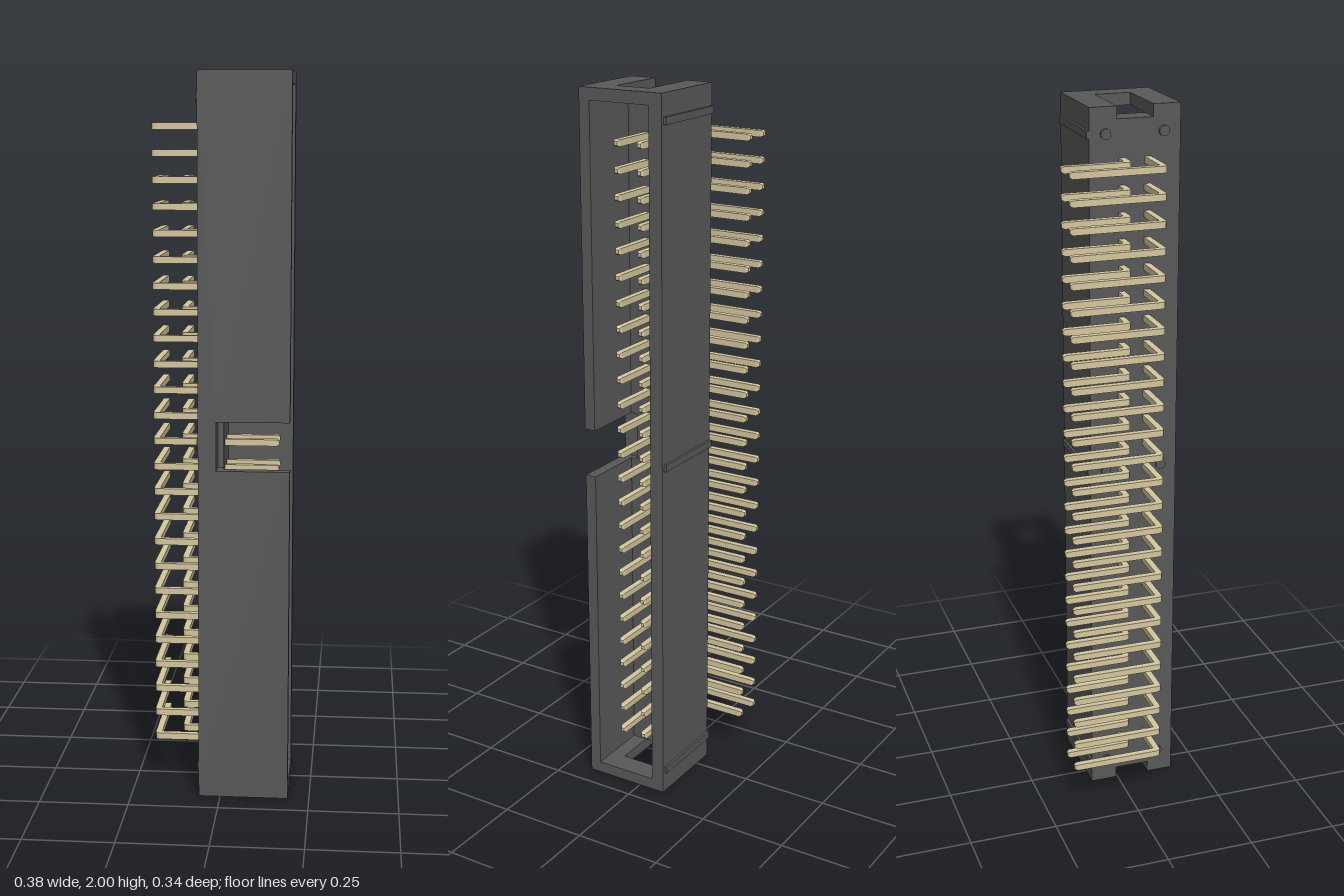
import * as THREE from 'three';
import { mergeGeometries } from 'three/addons/utils/BufferGeometryUtils.js';

const ROWS = 25, PITCH = 1 / 14;
const X0 = -0.06, X1 = 0.19, Z0 = -0.08, Z1 = 0.17; // housing outline
const WALL = 0.033, FLOOR = 0.007, PIN = 0.018;

const polygon = pts => new THREE.Shape(pts.map(([x, y]) => new THREE.Vector2(x, y)));

// Extrude a plan given as (x, -z) upwards from y
function extrudeUp(shape, y, height) {
  const g = new THREE.ExtrudeGeometry(shape, { depth: height, bevelEnabled: false, curveSegments: 4 });
  return g.rotateX(-Math.PI / 2).translate(0, y, 0);
}

// Pin end: a short square frustum pointing along +y before it is turned
function pinTip(length) {
  const r = PIN / Math.SQRT2;
  const g = new THREE.CylinderGeometry(r * 0.55, r, length, 4).toNonIndexed();
  g.rotateY(Math.PI / 4).translate(0, length / 2, 0);
  g.computeVertexNormals();
  return g;
}

// Right-angle pin: contact along +x at depth z, solder leg along -z at legX
function pinGeometry(z, legX) {
  const h = PIN / 2, tip = 0.007, end = 0.15, tail = -0.165, R = 0.016;
  const s = new THREE.Shape();
  s.moveTo(end, -(z + h));
  s.lineTo(end, -(z - h));
  s.lineTo(legX + h, -(z - h));
  s.lineTo(legX + h, -tail);
  s.lineTo(legX - h, -tail);
  s.lineTo(legX - h, -(z + h) + R);
  s.quadraticCurveTo(legX - h, -(z + h), legX - h + R, -(z + h));
  s.closePath();
  return mergeGeometries([
    extrudeUp(s, -h, PIN),
    pinTip(tip).rotateZ(-Math.PI / 2).translate(end, 0, z),
    pinTip(tip).rotateX(-Math.PI / 2).translate(legX, 0, tail),
  ]);
}

export function createModel() {
  const model = new THREE.Group();
  const plastic = new THREE.MeshStandardMaterial({ color: 0x595959 });
  const metal = new THREE.MeshStandardMaterial({ color: 0xd6c7a0 });

  const housing = new THREE.Group();
  housing.name = 'housing';
  model.add(housing);
  const add = (name, geometry) => {
    const m = new THREE.Mesh(geometry, plastic);
    m.name = name;
    housing.add(m);
    return m;
  };
  const block = (name, xa, xb, ya, yb, za, zb) => add(name,
    new THREE.BoxGeometry(xb - xa, yb - ya, zb - za)
      .translate((xa + xb) / 2, (ya + yb) / 2, (za + zb) / 2));

  // End walls, each with a slot open towards the pin side
  const endPlan = polygon([
    [X0, -Z1], [X1, -Z1], [X1, -Z0], [X0, -Z0],
    [X0, 0.005], [0.125, 0.005], [0.125, -0.095], [X0, -0.095],
  ]);
  add('bottomEndWall', extrudeUp(endPlan, 0, WALL));
  add('topEndWall', extrudeUp(endPlan, 2 - WALL, WALL));

  // Cavity floor and back wall
  block('cavityFloor', X0, FLOOR, WALL, 2 - WALL, Z0, 0.117);
  block('backWall', FLOOR, X1, WALL, 2 - WALL, Z0, -0.042);

  // Front wall and floor edge, both notched by the key slot
  const notched = (name, xb, za, zb) => {
    const shape = polygon([
      [X0, WALL], [xb, WALL], [xb, 0.935], [-0.01, 0.935],
      [-0.01, 1.07], [xb, 1.07], [xb, 2 - WALL], [X0, 2 - WALL],
    ]);
    add(name, new THREE.ExtrudeGeometry(shape, { depth: zb - za, bevelEnabled: false }).translate(0, 0, za));
  };
  notched('floorEdge', FLOOR, 0.117, 0.138);
  notched('frontWall', X1, 0.138, Z1);

  // Back ribs and round standoffs at three heights
  for (const y of [0.07, 1, 1.93]) {
    block('backRib', X0, 0.18, y - 0.01, y + 0.01, Z0 - 0.007, Z0 + 0.005);
    for (const z of [-0.036, 0.124]) {
      add('standoff', new THREE.CylinderGeometry(0.014, 0.014, 0.012, 20)
        .rotateZ(Math.PI / 2).translate(X0 - 0.001, y, z));
    }
  }

  // Two rows of bent pins
  const pins = new THREE.Group();
  pins.name = 'pins';
  model.add(pins);
  for (const [name, z, legX] of [['innerPin', 0.009, -0.111], ['outerPin', 0.08, -0.183]]) {
    const geometry = pinGeometry(z, legX);
    for (let i = 0; i < ROWS; i++) {
      const pin = new THREE.Mesh(geometry, metal);
      pin.name = name;
      pin.position.y = 1 + (i - (ROWS - 1) / 2) * PITCH;
      pins.add(pin);
    }
  }
  return model;
}
